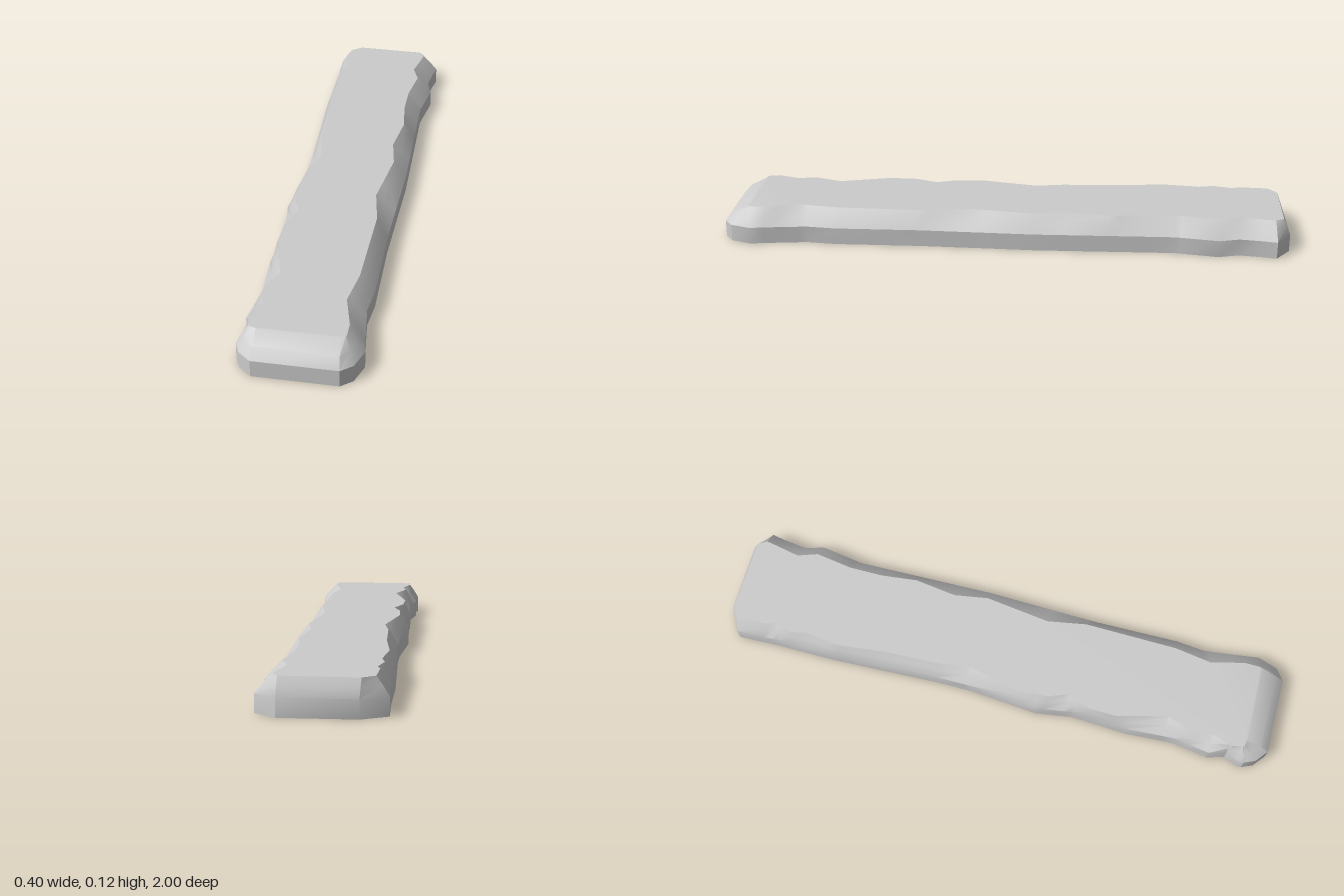
import * as THREE from 'three';
import { toCreasedNormals } from 'three/addons/utils/BufferGeometryUtils.js';

// Wavy long edges as [z, x] breakpoints
const rightOuter = [[-0.95, 0.2], [-0.9, 0.19], [-0.82, 0.18], [-0.75, 0.2], [-0.6, 0.176], [-0.4, 0.18], [-0.1, 0.186],
  [0.05, 0.182], [0.3, 0.176], [0.6, 0.18], [0.7, 0.17], [0.8, 0.182], [0.9, 0.196]];
const rightInner = [[-0.94, 0.145], [-0.82, 0.12], [-0.75, 0.145], [-0.62, 0.125], [-0.5, 0.125], [-0.37, 0.14],
  [-0.22, 0.12], [-0.1, 0.14], [0.13, 0.11], [0.27, 0.135], [0.6, 0.13], [0.73, 0.11], [0.85, 0.14], [0.9, 0.14]];
const leftOuter = [[-0.95, -0.2], [-0.8, -0.195], [-0.6, -0.196], [-0.4, -0.188], [-0.2, -0.18], [-0.08, -0.18], [0.17, -0.2],
  [0.3, -0.18], [0.5, -0.19], [0.67, -0.18], [0.8, -0.2], [0.86, -0.182], [0.9, -0.2]];
const leftInner = [[-0.95, -0.162], [-0.85, -0.165], [-0.82, -0.155], [-0.75, -0.172], [-0.7, -0.16], [-0.57, -0.175],
  [-0.4, -0.155], [-0.2, -0.147], [-0.1, -0.13], [0.1, -0.17], [0.2, -0.165], [0.27, -0.14], [0.35, -0.17],
  [0.45, -0.172], [0.63, -0.126], [0.73, -0.16], [0.79, -0.147], [0.87, -0.172], [0.9, -0.165]];

function xAt(edge, z) {
  if (z <= edge[0][0]) return edge[0][1];
  for (let i = 1; i < edge.length; i++) {
    const [z0, x0] = edge[i - 1], [z1, x1] = edge[i];
    if (z <= z1) return x0 + (x1 - x0) * (z - z0) / (z1 - z0);
  }
  return edge[edge.length - 1][1];
}

// All breakpoints of both edges of a side, in order
const stations = (a, b) => [...new Set([...a, ...b].map(p => p[0]))].filter(z => z > -0.94).sort((p, q) => p - q);

function createPlankGeometry() {
  const outer = [], mid = [], inner = [];
  const add = (ox, oz, ix, iz, bulge = 0) => {
    outer.push([ox, oz]);
    inner.push([ix, iz]);
    // bevel halfway line, slightly rounded outward at the front end
    mid.push([(ox + ix) / 2, (oz + iz) / 2 + bulge]);
  };

  // Right side, back to front
  add(0.2, -0.95, 0.145, -0.945);
  for (const z of stations(rightOuter, rightInner)) add(xAt(rightOuter, z), z, xAt(rightInner, z), z);
  // Front end with cut corners
  add(0.172, 0.97, 0.138, 0.908);
  add(0.134, 1, 0.125, 0.915, 0.012);
  add(-0.142, 1, -0.14, 0.915, 0.012);
  add(-0.185, 0.965, -0.16, 0.91);
  add(-0.203, 0.925, -0.165, 0.905);
  // Left side, front to back
  for (const z of stations(leftOuter, leftInner).reverse()) add(xAt(leftOuter, z), z, xAt(leftInner, z), z);
  // Back end
  add(-0.2, -0.955, -0.16, -0.95);
  add(-0.115, -1, -0.12, -0.98);
  add(0.13, -1, 0.127, -0.975);

  const rings = [[outer, 0], [outer, 0.06], [mid, 0.093], [inner, 0.12]];
  const n = outer.length, positions = [], index = [];
  for (const [ring, y] of rings) for (const [x, z] of ring) positions.push(x, y, z);

  // Walls and bevel
  for (let r = 0; r < rings.length - 1; r++) {
    for (let i = 0; i < n; i++) {
      const a = r * n + i, b = r * n + (i + 1) % n;
      index.push(a, a + n, b, b, a + n, b + n);
    }
  }

  // Flat bottom and top
  const cap = (ring, start, up) => {
    const pts = ring.map(([x, z]) => new THREE.Vector2(x, z));
    for (const [a, b, c] of THREE.ShapeUtils.triangulateShape(pts, [])) {
      const facesUp = pts[b].clone().sub(pts[a]).cross(pts[c].clone().sub(pts[a])) < 0;
      if (facesUp === up) index.push(start + a, start + b, start + c);
      else index.push(start + a, start + c, start + b);
    }
  };
  cap(outer, 0, false);
  cap(inner, 3 * n, true);

  const geometry = new THREE.BufferGeometry();
  geometry.setAttribute('position', new THREE.Float32BufferAttribute(positions, 3));
  geometry.setIndex(index);
  return toCreasedNormals(geometry, 0.5);
}

export function createModel() {
  const group = new THREE.Group();
  group.name = 'plank';
  const board = new THREE.Mesh(createPlankGeometry(), new THREE.MeshStandardMaterial({ color: 0xcccccc }));
  board.name = 'roughEdgedBoard';
  group.add(board);
  return group;
}
